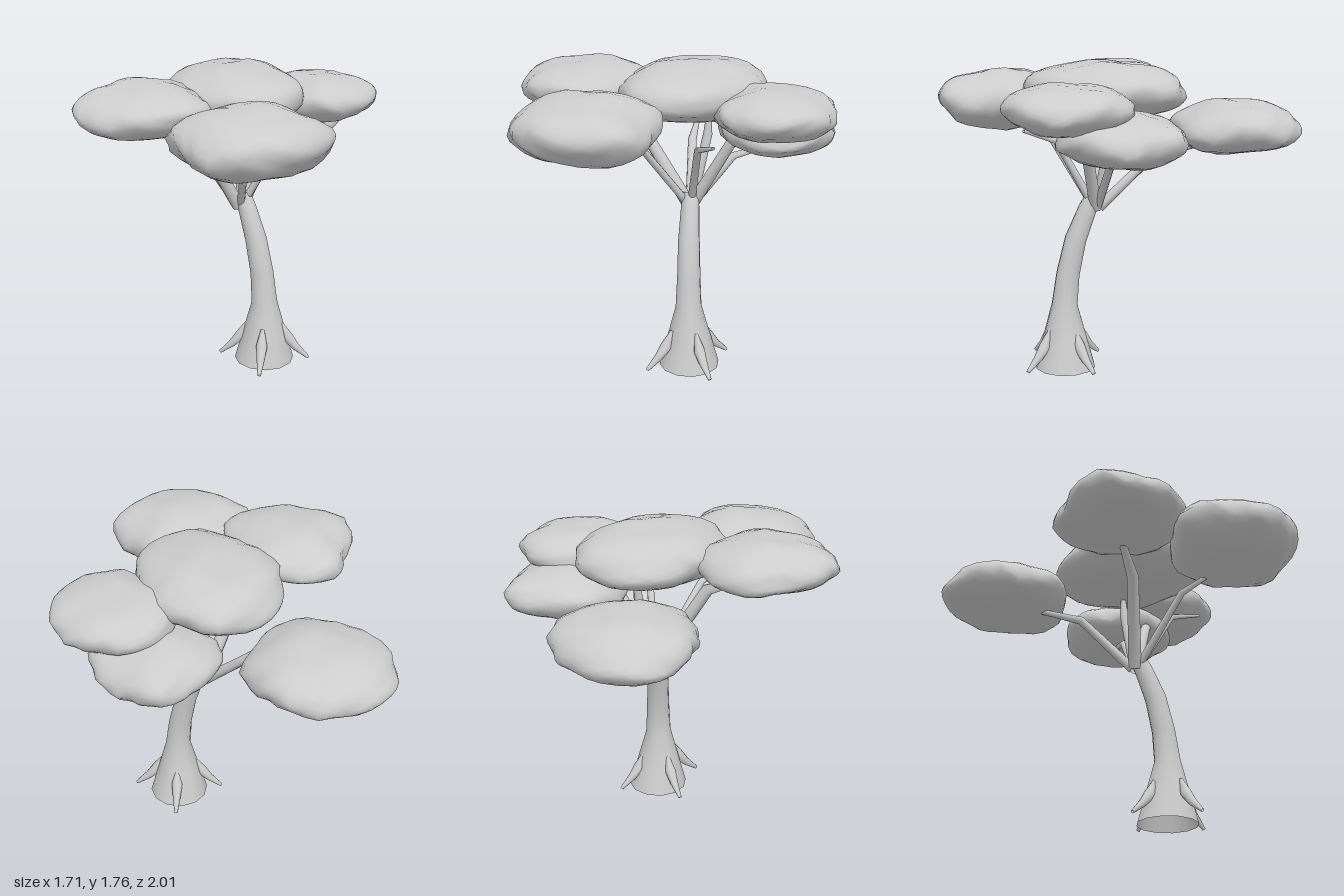
import * as THREE from 'three';
import { mergeVertices } from 'three/addons/utils/BufferGeometryUtils.js';

const material = new THREE.MeshStandardMaterial({ color: 0xcccccc, side: THREE.DoubleSide });
material.name = 'light grey';

// Tapered limb: stations are [x, y, z, radius] from base to tip
function limb(name, stations, sides) {
  const n = stations.length;
  const geo = new THREE.CylinderGeometry(1, 1, 1, sides, n - 1, true);
  const centres = stations.map(([x, y, z]) => new THREE.Vector3(x, y, z));
  const up = new THREE.Vector3(0, 1, 0);
  const turns = centres.map((c, i) => {
    const along = centres[Math.min(i + 1, n - 1)].clone().sub(centres[Math.max(i - 1, 0)]).normalize();
    return new THREE.Quaternion().setFromUnitVectors(up, along);
  });
  const pos = geo.attributes.position;
  const v = new THREE.Vector3();
  for (let k = 0; k < pos.count; k++) {
    const i = n - 1 - Math.floor(k / (sides + 1));
    v.set(pos.getX(k), 0, pos.getZ(k)).multiplyScalar(stations[i][3]);
    v.applyQuaternion(turns[i]).add(centres[i]);
    pos.setXYZ(k, v.x, v.y, v.z);
  }
  return smoothMesh(name, geo);
}

// Weld vertices so shading is smooth across seams
function smoothMesh(name, source) {
  source.deleteAttribute('uv');
  source.deleteAttribute('normal');
  const geo = mergeVertices(source, 1e-5);
  geo.computeVertexNormals();
  const mesh = new THREE.Mesh(geo, material);
  mesh.name = name;
  return mesh;
}

// Lumpy flattened ball: plan outline given as radii every 30 degrees from +x towards +z,
// heights given as bottom, rim and top
function foliage({ name, centre, heights, outline }, seed) {
  const geo = new THREE.IcosahedronGeometry(1, 5);
  const pos = geo.attributes.position;
  const v = new THREE.Vector3();
  const [bottom, rim, top] = heights;
  const count = outline.length;
  for (let k = 0; k < pos.count; k++) {
    const { x, y, z } = v.fromBufferAttribute(pos, k).normalize();
    const turn = ((Math.atan2(z, x) / (2 * Math.PI) + 1) % 1) * count;
    const i = Math.floor(turn) % count;
    const radius = THREE.MathUtils.lerp(outline[i], outline[(i + 1) % count], turn - Math.floor(turn));
    const lump = 0.06 * Math.sin(5 * x + seed) * Math.cos(5 * z - seed * 2)
      + 0.035 * Math.sin(9 * x - 4 * z + seed * 3) * Math.cos(8 * z + 3 * y + seed);
    const across = radius * (1 + 0.025 * Math.sin(11 * x + 9 * z + 5 * y + seed * 5));
    const rise = (y > 0 ? top - rim : rim - bottom) * y * (1 + lump);
    const tilt = 0.025 * Math.sin(3 * x + 4 * z + seed * 4) * (1 - Math.abs(y));
    pos.setXYZ(k, centre[0] + x * across, rim + rise + tilt, centre[1] + z * across);
  }
  return smoothMesh(name, geo);
}

const clusters = [
  { name: 'backRightCluster', centre: [-0.465, -0.63], heights: [1.235, 1.38, 1.535],
    outline: [.39, .34, .355, .365, .34, .335, .385, .395, .38, .37, .39, .375] },
  { name: 'frontRightCluster', centre: [-0.465, 0.245], heights: [1.45, 1.58, 1.725],
    outline: [.36, .40, .38, .375, .38, .385, .345, .31, .385, .36, .37, .345] },
  { name: 'frontCluster', centre: [0.1, 0.61], heights: [1.33, 1.51, 1.68],
    outline: [.42, .375, .375, .385, .41, .38, .425, .355, .345, .37, .39, .355] },
  { name: 'topCluster', centre: [0.03, -0.13], heights: [1.43, 1.59, 1.755],
    outline: [.355, .435, .485, .465, .41, .40, .375, .40, .435, .46, .40, .39] },
  { name: 'leftCluster', centre: [0.52, -0.27], heights: [1.4, 1.53, 1.665],
    outline: [.34, .325, .335, .33, .305, .33, .34, .33, .355, .35, .345, .33] },
  { name: 'backLeftCluster', centre: [0.33, -0.5], heights: [1.235, 1.37, 1.52],
    outline: [.34, .35, .36, .355, .34, .33, .33, .31, .30, .365, .305, .315] },
];

export function createModel() {
  const tree = new THREE.Group();
  tree.name = 'tree';

  // Leaning trunk with a flared, open foot
  const trunk = limb('trunk', [
    [0.206, 0, 0.03, 0.175], [0.205, 0.2, 0.033, 0.121], [0.204, 0.37, 0.035, 0.075],
    [0.188, 0.55, 0.022, 0.067], [0.152, 0.75, -0.005, 0.062],
    [0.103, 0.92, -0.05, 0.053], [0.075, 1.0, -0.075, 0.046],
  ], 12);
  // Keep the foot flat on the ground
  const pos = trunk.geometry.attributes.position;
  for (let k = 0; k < pos.count; k++) if (pos.getY(k) < 0.05) pos.setY(k, 0);
  tree.add(trunk);

  // Four spindle roots around the foot
  const roots = new THREE.Group();
  roots.name = 'roots';
  for (let i = 0; i < 4; i++) {
    const a = i * Math.PI / 2 + 0.15;
    const at = (d, y, r) => [0.205 + Math.cos(a) * d, y, 0.042 + Math.sin(a) * d, r];
    roots.add(limb('root', [
      at(0.265, 0.02, 0.01), at(0.19, 0.085, 0.024), at(0.14, 0.145, 0.033), at(0.1, 0.235, 0.01),
    ], 8));
  }
  tree.add(roots);

  // Branches: elbow then tip, rising from the fork
  const branches = new THREE.Group();
  branches.name = 'branches';
  const bends = [
    [[-0.19, 1.22, -0.29], [-0.42, 1.29, -0.52], 0.026],
    [[-0.17, 1.38, 0.1], [-0.42, 1.5, 0.22], 0.034],
    [[0.08, 1.32, 0.26], [0.1, 1.4, 0.55], 0.02],
    [[0.08, 1.33, -0.19], [0.08, 1.48, -0.2], 0.026],
    [[0.28, 1.32, -0.19], [0.46, 1.46, -0.26], 0.03],
    [[0.19, 1.21, -0.29], [0.32, 1.28, -0.5], 0.022],
    [[0.27, 1.32, 0.03], [0.47, 1.39, 0.085], 0.02],
  ];
  for (const [elbow, tip, r] of bends) {
    branches.add(limb('branch', [
      [0.06 + elbow[0] * 0.05, 0.93, -0.08 + elbow[2] * 0.05, r * 1.15],
      [...elbow, r], [...tip, r * 0.45],
    ], 8));
  }
  tree.add(branches);

  // Flat leaf clusters
  const crown = new THREE.Group();
  crown.name = 'crown';
  clusters.forEach((cluster, i) => crown.add(foliage(cluster, 1.7 * i + 0.6)));
  tree.add(crown);

  return tree;
}
